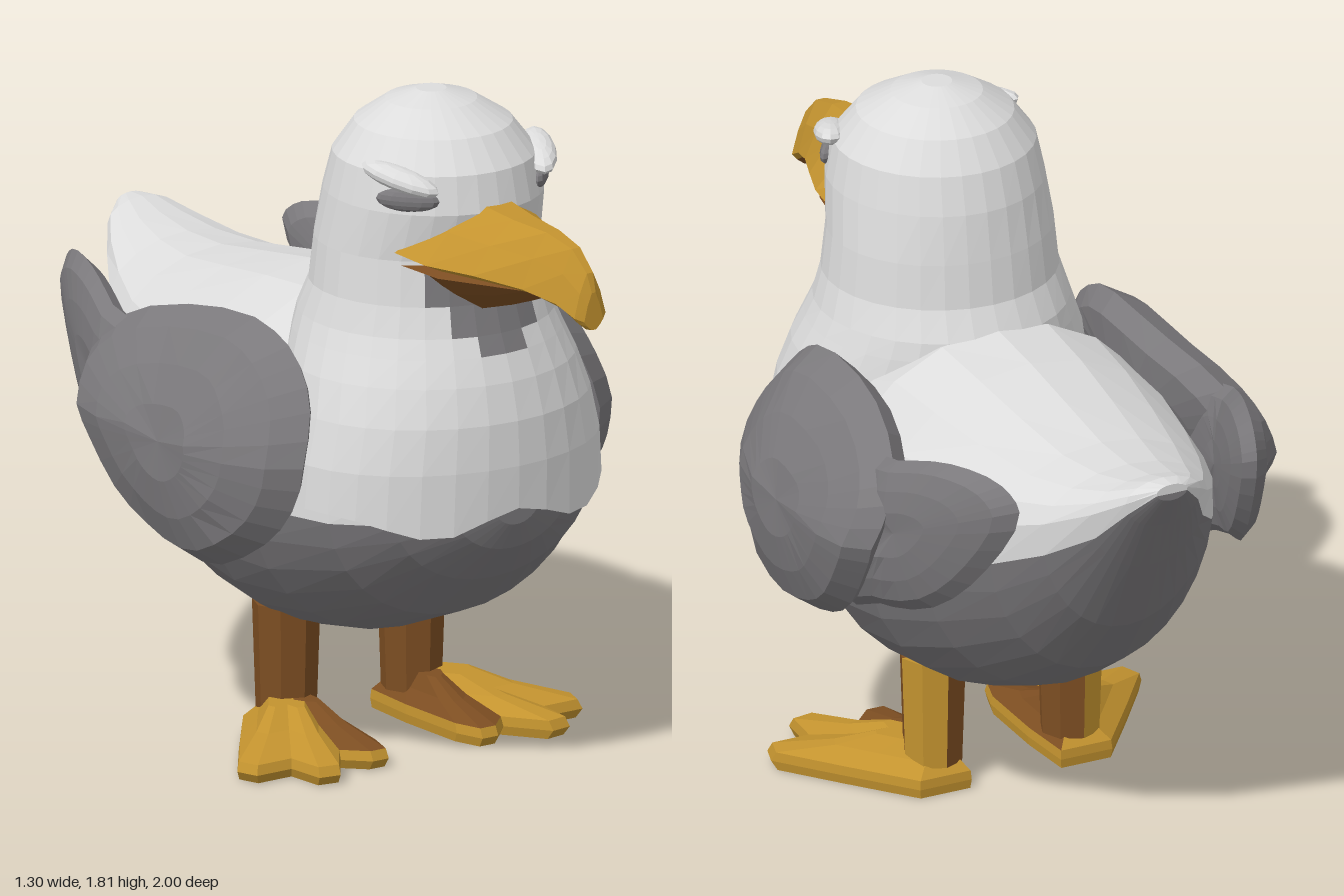
import * as THREE from 'three';

const mat = (name, color) => {
  const m = new THREE.MeshStandardMaterial({ color });
  m.name = name;
  return m;
};

// Closed, faceted solid through rings of [x, y, z]; pick(column, row) selects the
// material slot (row -1 is the first cap, the last row the end cap).
function loft(rings, pick = () => 0) {
  const n = rings[0].length, end = rings.length - 1, slots = [[], []];
  const centre = (r) => [0, 1, 2].map((k) => r.reduce((s, p) => s + p[k], 0) / n);
  const first = centre(rings[0]), last = centre(rings[end]);
  for (let j = 0; j < n; j++) {
    const k = (j + 1) % n;
    slots[pick(j, -1)].push([first, rings[0][k], rings[0][j]]);
    for (let i = 0; i < end; i++) {
      const a = rings[i], b = rings[i + 1];
      slots[pick(j, i)].push([a[j], a[k], b[k]], [a[j], b[k], b[j]]);
    }
    slots[pick(j, end)].push([last, rings[end][j], rings[end][k]]);
  }
  // Turn the faces outwards whatever the ring direction
  let volume = 0;
  for (const [a, b, c] of slots.flat()) {
    volume += a[0] * (b[1] * c[2] - b[2] * c[1]) + a[1] * (b[2] * c[0] - b[0] * c[2]) + a[2] * (b[0] * c[1] - b[1] * c[0]);
  }
  const tris = slots.flat().map(([a, b, c]) => (volume < 0 ? [a, c, b] : [a, b, c]));
  const geo = new THREE.BufferGeometry();
  geo.setAttribute('position', new THREE.Float32BufferAttribute(tris.flat(2), 3));
  geo.addGroup(0, slots[0].length * 3, 0);
  if (slots[1].length) geo.addGroup(slots[0].length * 3, slots[1].length * 3, 1);
  geo.computeVertexNormals();
  return geo;
}

// Cushion with a (z, y) outline, bulging along x around a base surface
function cushion(side, outline, [cz, cy], base, thick) {
  const curve = new THREE.CatmullRomCurve3(outline.map(([z, y]) => new THREE.Vector3(0, y, z)), true, 'centripetal');
  const edge = curve.getPoints(30).slice(0, 30);
  const steps = [[0.3, 0.97], [0.6, 0.83], [0.86, 0.55], [1, 0], [0.86, -0.55], [0.6, -0.83], [0.3, -0.97]];
  return loft(steps.map(([s, t]) => edge.map((p) => {
    const z = cz + (p.z - cz) * s, y = cy + (p.y - cy) * s;
    return [side * (base(z, y) + t * thick), y, z];
  })));
}

// Faceted ellipsoid
function blob(rx, ry, rz) {
  const g = new THREE.SphereGeometry(1, 12, 8).toNonIndexed();
  g.scale(rx, ry, rz);
  g.computeVertexNormals();
  return g;
}

export function createModel() {
  const white = mat('white plumage', 0xdcdcdc);
  const grey = mat('grey plumage', 0x7b797c);
  const gold = mat('golden beak and feet', 0xc3932f);
  const brown = mat('brown legs and beak underside', 0x7d4e22);

  const model = new THREE.Group();
  model.name = 'bird';
  const add = (name, geo, material, parent = model) => {
    const mesh = new THREE.Mesh(geo, material);
    mesh.name = name;
    parent.add(mesh);
    return mesh;
  };

  // Body: z, half width, bottom, widest height, top, height of the colour border
  const UP = 10, DOWN = 14;
  const bodyRings = [
    [0.71, 0.08, 0.72, 0.8, 0.88, 0.76], [0.685, 0.19, 0.65, 0.8, 0.96, 0.75],
    [0.6, 0.32, 0.55, 0.79, 1.05, 0.74], [0.45, 0.42, 0.42, 0.78, 1.1, 0.73],
    [0.2, 0.49, 0.32, 0.77, 1.16, 0.73], [0, 0.5, 0.285, 0.76, 1.24, 0.76],
    [-0.2, 0.48, 0.31, 0.78, 1.22, 0.79], [-0.4, 0.42, 0.39, 0.85, 1.19, 0.84],
    [-0.6, 0.33, 0.52, 0.95, 1.16, 0.88], [-0.75, 0.25, 0.7, 1.02, 1.16, 0.95],
    [-0.87, 0.17, 0.92, 1.1, 1.18, 1.03], [-0.95, 0.11, 1.07, 1.15, 1.205, 1.12],
    [-1, 0.045, 1.16, 1.185, 1.205, 1.18],
  ].map(([z, w, bot, cy, top, border]) => {
    const b = Math.asin((border - cy) / (border > cy ? top - cy : cy - bot));
    return Array.from({ length: UP + DOWN }, (_, j) => {
      const a = j < UP ? b + (Math.PI - 2 * b) * j / UP : Math.PI - b + (Math.PI + 2 * b) * (j - UP) / DOWN;
      const s = Math.sin(a);
      return [w * Math.cos(a), cy + s * (s > 0 ? top - cy : cy - bot), z];
    });
  });
  add('body', loft(bodyRings, (j) => (j < UP ? 0 : 1)), [white, grey]);

  // Breast, neck and head: y, front z, back z, half width; wavy lower border, grey chin
  const COLS = 30, chinWidth = { 4: 1, 5: 2, 6: 3 };
  const headRings = [
    [0.735, 0.718, 0, 0.455], [0.88, 0.722, 0, 0.445], [1, 0.715, 0, 0.415], [1.1, 0.69, -0.03, 0.385],
    [1.17, 0.662, -0.035, 0.355], [1.22, 0.64, -0.03, 0.335], [1.3, 0.615, 0.01, 0.312],
    [1.42, 0.6, 0.025, 0.3], [1.55, 0.635, 0.045, 0.285], [1.65, 0.615, 0.075, 0.265],
    [1.73, 0.55, 0.13, 0.205], [1.785, 0.45, 0.21, 0.12], [1.81, 0.37, 0.29, 0.04],
  ].map(([y, zf, zb, w], i) => Array.from({ length: COLS }, (_, j) => {
    const a = (j / COLS) * Math.PI * 2, s = Math.sin(a);
    const wave = i === 0 ? 0.03 * Math.cos(2 * Math.PI * s) : 0;
    return [w * s, y + wave, (zf + zb) / 2 + ((zf - zb) / 2) * Math.cos(a)];
  }));
  const chin = (j, i) => (Math.min(j, COLS - 1 - j) < (chinWidth[i] ?? 0) ? 1 : 0);
  add('neckAndHead', loft(headRings, chin), [white, grey]);

  // Beak: z, half width, edge height, top, bottom; the tip leans slightly to the left
  const beak = (rows, pick) => loft(rows.map(([z, w, e, t, b]) => {
    const half = [[0.2 * w, t], [0.65 * w, t * 0.55 + e * 0.45], [w, e], [0.7 * w, (e + b) / 2], [0.25 * w, b]];
    const other = half.map(([x, y]) => [-x, y]).reverse();
    return [...half, ...other].map(([x, y]) => [x + 0.09 * Math.max(0, z - 0.6), y, z]);
  }), pick);
  add('upperBeak', beak([
    [0.5, 0.24, 1.445, 1.52, 1.39], [0.6, 0.215, 1.43, 1.57, 1.37], [0.72, 0.16, 1.42, 1.55, 1.37],
    [0.84, 0.1, 1.4, 1.54, 1.37], [0.93, 0.065, 1.375, 1.515, 1.345],
    [0.985, 0.05, 1.345, 1.46, 1.31], [1, 0.03, 1.335, 1.41, 1.31],
  ], (j, i) => (j > 2 && j < 6 && i < 5 ? 1 : 0)), [gold, brown]);
  add('lowerBeak', beak([
    [0.5, 0.225, 1.41, 1.43, 1.35], [0.62, 0.19, 1.395, 1.42, 1.29],
    [0.72, 0.13, 1.39, 1.41, 1.32], [0.82, 0.07, 1.385, 1.395, 1.36],
  ]), brown);

  for (const side of [1, -1]) {
    const label = side > 0 ? 'left' : 'right';

    // Eye and overhanging brow
    const eye = add(label + 'Eye', blob(0.085, 0.032, 0.022), grey);
    eye.position.set(side * 0.212, 1.588, 0.52);
    eye.rotation.y = side * 0.87;
    const brow = add(label + 'Brow', blob(0.045, 0.03, 0.115), white);
    brow.position.set(side * 0.222, 1.642, 0.5);
    brow.lookAt(side * 0.17, 1.615, 0.6);

    // Wing: main lobe with a long flight feather behind
    const wing = new THREE.Group();
    wing.name = label + 'Wing';
    model.add(wing);
    add('wingLobe', cushion(side, [
      [0.42, 0.88], [0.39, 1.03], [0.3, 1.14], [0.18, 1.2], [-0.1, 1.19], [-0.35, 1.12], [-0.43, 1.03],
      [-0.42, 0.9], [-0.36, 0.8], [-0.24, 0.66], [-0.08, 0.575], [0.1, 0.555], [0.28, 0.64], [0.38, 0.75],
    ], [0, 0.88], (z, y) => 0.53 - 0.4 * Math.max(0, y - 0.9) - 0.25 * Math.max(0, z - 0.2)
      + 0.15 * Math.max(0, -0.1 - z), 0.12), grey, wing);
    add('flightFeather', cushion(side, [
      [-0.25, 1.08], [-0.4, 1.13], [-0.58, 1.18], [-0.75, 1.175], [-0.81, 1.12], [-0.7, 0.92],
      [-0.52, 0.75], [-0.3, 0.68], [-0.12, 0.62], [-0.1, 0.85],
    ], [-0.45, 0.95], (z) => 0.49 + 0.35 * Math.min(0, z + 0.4), 0.065), grey, wing);

    // Leg: brown, with a golden strip on the outer back
    const legRings = [[0.08, 0.07], [0.09, 0.37]].map(([r, y]) => Array.from({ length: 8 }, (_, j) => {
      const a = (j / 8) * Math.PI * 2;
      return [side * (0.2 + r * Math.cos(a)), y, -0.035 + r * Math.sin(a)];
    }));
    add(label + 'Leg', loft(legRings, (j) => (j === 6 || (j === 7 && side > 0) ? 1 : 0)), [brown, gold]);

    // Webbed foot turned outwards: golden, brown on the sole and the inner slope
    const outline = [
      [0.13, -0.12], [0.12, 0.05], [0.125, 0.27], [0.15, 0.35], [0.2, 0.35], [0.26, 0.29], [0.34, 0.4],
      [0.4, 0.39], [0.41, 0.28], [0.52, 0.28], [0.54, 0.22], [0.42, 0.06], [0.28, -0.12],
    ];
    const footRing = (shrink, y) => outline.map(([x, z]) => [
      side * (x + (0.2 - x) * shrink), y, z + (-0.04 - z) * shrink,
    ]);
    add(label + 'Foot', loft([
      footRing(0.04, 0), footRing(0, 0.025), footRing(0.03, 0.05), footRing(0.4, 0.085), footRing(0.65, 0.125),
    ], (j, i) => (i < 0 || (i > 1 && j < 5) ? 1 : 0)), [gold, brown]);
  }
  return model;
}
